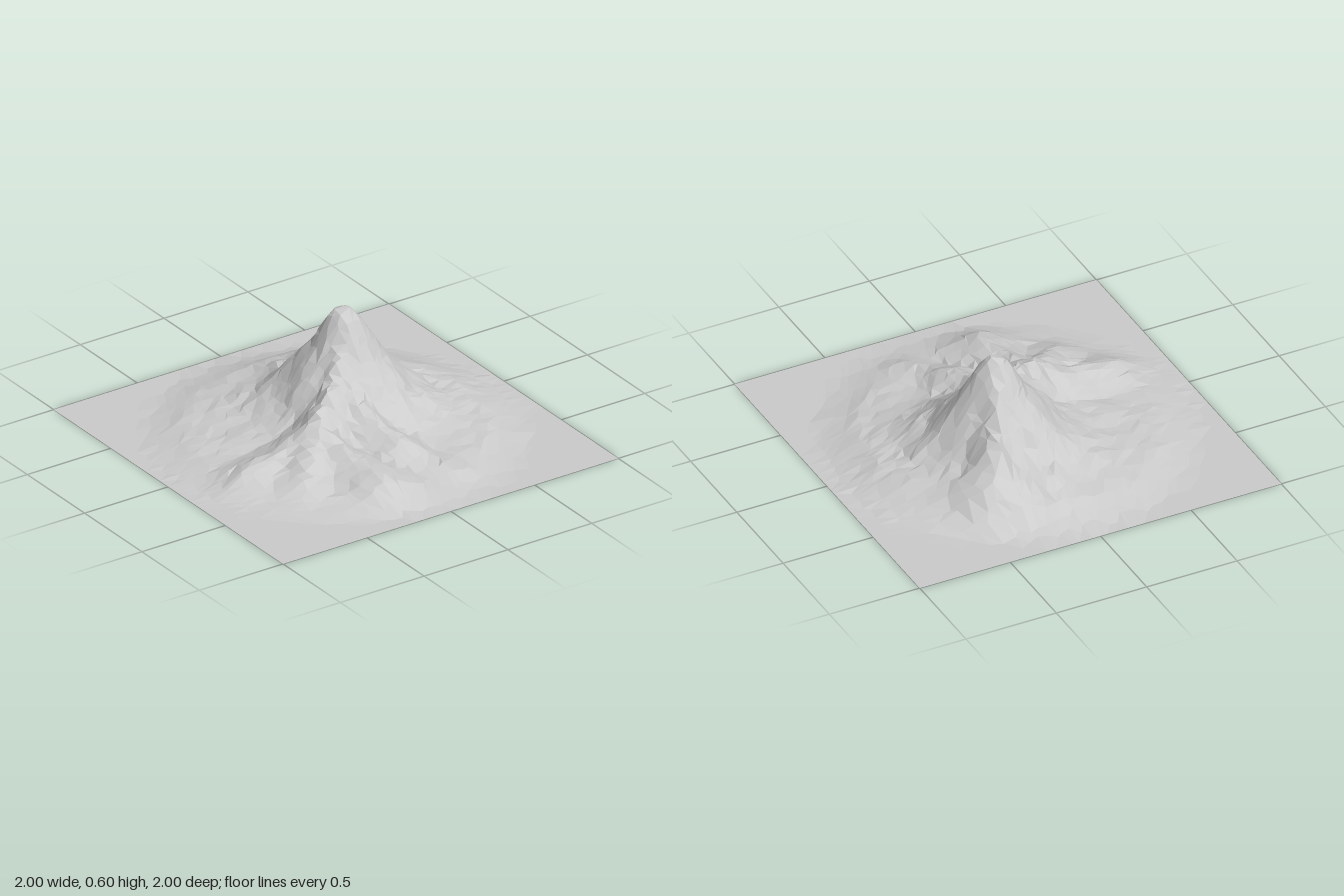
import * as THREE from 'three';

const N = 34;                       // grid cells per side
const PEAK = [0.145, -0.15];

// height of the main cone by distance from the summit
const CONE = [[0, 0.605], [0.03, 0.6], [0.08, 0.545], [0.13, 0.46], [0.18, 0.38], [0.25, 0.285], [0.35, 0.175],
  [0.45, 0.105], [0.55, 0.075], [0.7, 0.052], [0.9, 0.035], [1.4, 0.025]];

// ridge crests as [x, z, height]
const RIDGES = [
  // north-east shoulder
  [[0.17, -0.19, 0.58], [0.22, -0.29, 0.47], [0.26, -0.36, 0.39], [0.31, -0.46, 0.335], [0.37, -0.54, 0.22], [0.43, -0.64, 0.13], [0.46, -0.74, 0.07]],
  // south-west crest
  [[0.12, -0.13, 0.57], [0.04, -0.04, 0.44], [-0.05, 0.06, 0.33], [-0.16, 0.13, 0.28], [-0.27, 0.21, 0.235], [-0.36, 0.3, 0.165], [-0.47, 0.4, 0.11]],
  // western spur
  [[-0.25, 0.19, 0.23], [-0.38, 0.17, 0.155], [-0.52, 0.19, 0.13], [-0.65, 0.21, 0.1], [-0.82, 0.25, 0.055]],
  // southern spur
  [[-0.25, 0.24, 0.21], [-0.2, 0.4, 0.16], [-0.17, 0.6, 0.135], [-0.22, 0.74, 0.115], [-0.28, 0.86, 0.07]],
  // south-east spur
  [[0.06, -0.02, 0.42], [0.02, 0.12, 0.27], [0.03, 0.28, 0.19], [0.06, 0.4, 0.165], [0.15, 0.56, 0.09], [0.22, 0.7, 0.06]],
  // northern rib
  [[0.13, -0.2, 0.54], [0.1, -0.36, 0.32], [0.1, -0.52, 0.17], [0.1, -0.68, 0.09]],
];

const hash = (i, j) => {
  const s = Math.sin(i * 127.1 + j * 311.7) * 43758.5453;
  return s - Math.floor(s);
};

// smooth value noise in the range -1..1
function noise(x, z) {
  const i = Math.floor(x), j = Math.floor(z);
  const f = (t) => t * t * (3 - 2 * t);
  const u = f(x - i), v = f(z - j), mix = THREE.MathUtils.lerp;
  return 2 * mix(mix(hash(i, j), hash(i + 1, j), u), mix(hash(i, j + 1), hash(i + 1, j + 1), u), v) - 1;
}

function coneHeight(d) {
  for (let i = 1; i < CONE.length; i++) {
    const [d0, h0] = CONE[i - 1], [d1, h1] = CONE[i];
    if (d <= d1) return THREE.MathUtils.lerp(h0, h1, (d - d0) / (d1 - d0));
  }
  return 0;
}

// the rounded crest falls away on both sides of each ridge segment
function ridgeHeight(x, z) {
  let best = 0;
  for (const ridge of RIDGES) {
    for (let i = 1; i < ridge.length; i++) {
      const [ax, az, ah] = ridge[i - 1], [bx, bz, bh] = ridge[i];
      const dx = bx - ax, dz = bz - az;
      const t = THREE.MathUtils.clamp(((x - ax) * dx + (z - az) * dz) / (dx * dx + dz * dz), 0, 1);
      const d = Math.hypot(x - ax - t * dx, z - az - t * dz);
      best = Math.max(best, (ah + t * (bh - ah)) * Math.exp((0.05 - Math.hypot(d, 0.05)) / 0.16));
    }
  }
  return best;
}

function terrainHeight(x, z) {
  const d = Math.hypot(x - PEAK[0], z - PEAK[1]);
  let h = Math.max(coneHeight(d), ridgeHeight(x, z));
  // broken rock, calmer on the summit and the low apron
  const rough = noise(x * 8 + 5, z * 8) * 0.6 + noise(x * 17, z * 17 + 3) * 0.6;
  h += (rough - 0.15) * Math.min(0.028, h * 0.16) * Math.min(1, d / 0.15);
  // fade into the flat square around the foot
  const foot = THREE.MathUtils.clamp((0.95 - Math.hypot(x, z)) / 0.2, 0, 1);
  return Math.max(0, h * foot);
}

function terrainGeometry() {
  const positions = [], index = [];
  const spread = (t) => t * (0.65 + 0.35 * t * t);   // finer cells in the middle
  for (let j = 0; j <= N; j++) {
    for (let i = 0; i <= N; i++) {
      const edge = i === 0 || j === 0 || i === N || j === N;
      const jitter = edge ? 0 : 0.7;
      const x = spread(((i + (hash(i, j + 50) - 0.5) * jitter) / N) * 2 - 1);
      const z = spread(((j + (hash(i + 70, j) - 0.5) * jitter) / N) * 2 - 1);
      positions.push(x, edge ? 0 : terrainHeight(x, z), z);
    }
  }
  const y = (k) => positions[k * 3 + 1];
  for (let j = 0; j < N; j++) {
    for (let i = 0; i < N; i++) {
      const a = j * (N + 1) + i, b = a + N + 1, c = b + 1, d = a + 1;
      // split each cell along its flatter diagonal so edges follow the crests
      if (Math.abs(y(a) - y(c)) < Math.abs(y(b) - y(d))) index.push(a, b, c, a, c, d);
      else index.push(a, b, d, b, c, d);
    }
  }
  const indexed = new THREE.BufferGeometry();
  indexed.setAttribute('position', new THREE.Float32BufferAttribute(positions, 3));
  indexed.setIndex(index);
  const geometry = indexed.toNonIndexed();
  geometry.computeVertexNormals();
  return geometry;
}

export function createModel() {
  const group = new THREE.Group();
  group.name = 'mountain';
  // one open sheet: mountain and surrounding flat ground
  const terrain = new THREE.Mesh(
    terrainGeometry(),
    new THREE.MeshStandardMaterial({ color: 0xcccccc, flatShading: true, side: THREE.DoubleSide }),
  );
  terrain.name = 'terrain';
  group.add(terrain);
  return group;
}
